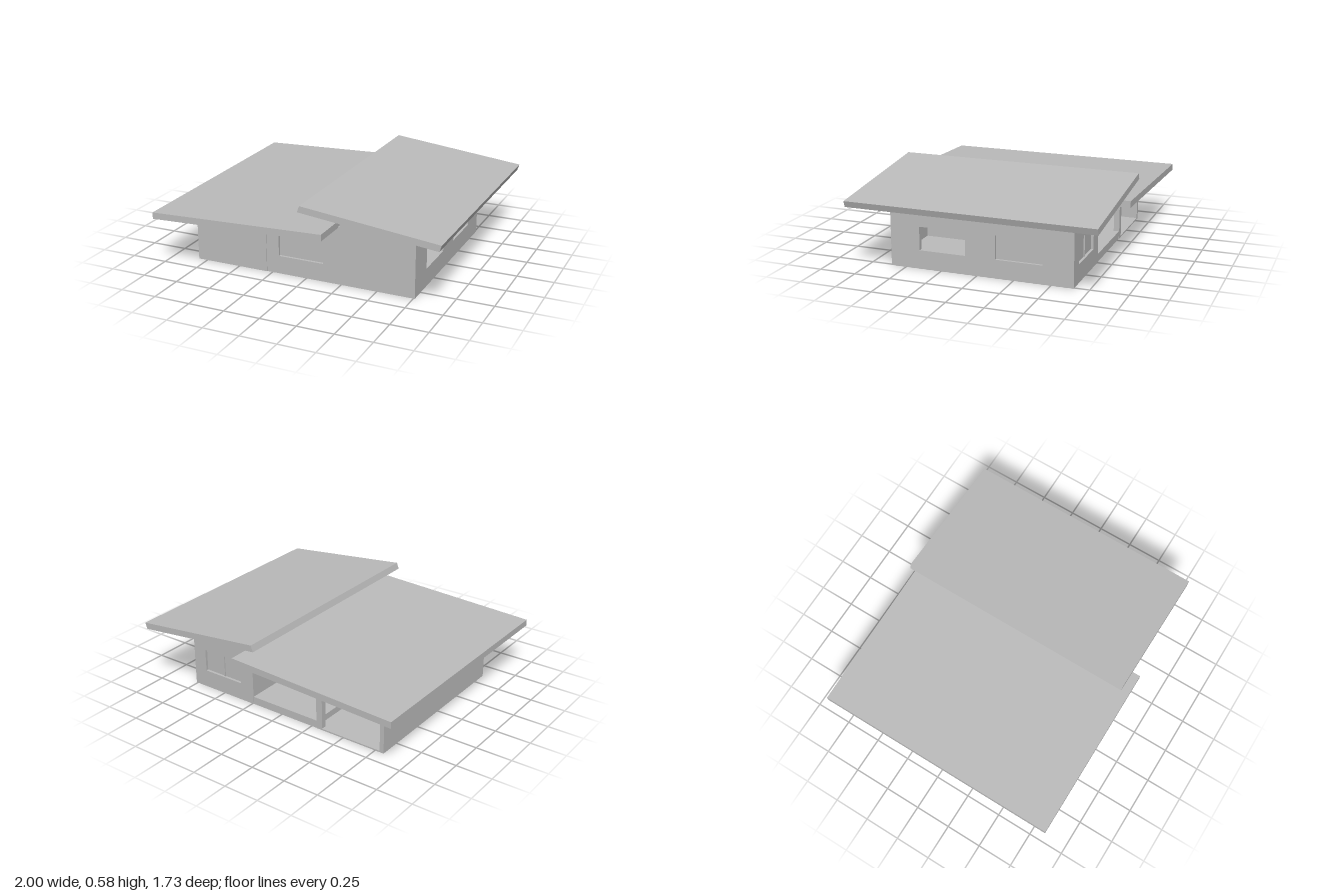
import * as THREE from 'three';

const T = 0.03; // wall thickness

export function createModel() {
  const group = new THREE.Group();
  const grey = new THREE.MeshStandardMaterial({ color: 0xbbbbbb });
  grey.name = 'plain grey';

  function add(name, geometry) {
    const mesh = new THREE.Mesh(geometry, grey);
    mesh.name = name;
    group.add(mesh);
    return mesh;
  }

  // Box given by its minimum and maximum corners
  function box(name, x0, x1, y0, y1, z0, z1) {
    const g = new THREE.BoxGeometry(x1 - x0, y1 - y0, z1 - z0);
    g.translate((x0 + x1) / 2, (y0 + y1) / 2, (z0 + z1) / 2);
    return add(name, g);
  }

  // Outline in the xy plane, with rectangular holes [x0, x1, y0, y1], extruded along z
  function slab(points, depth, holes = []) {
    const shape = new THREE.Shape(points.map(([x, y]) => new THREE.Vector2(x, y)));
    for (const [x0, x1, y0, y1] of holes) {
      shape.holes.push(new THREE.Path([
        new THREE.Vector2(x0, y0), new THREE.Vector2(x0, y1),
        new THREE.Vector2(x1, y1), new THREE.Vector2(x1, y0),
      ]));
    }
    return new THREE.ExtrudeGeometry(shape, { depth, bevelEnabled: false });
  }

  const sill = 0.125, head = 0.285;

  // Floors: low terrace and raised main floor
  box('terraceFloor', -0.81, -0.29, 0, 0.01, -0.65, 0.6);
  box('raisedFloor', -0.29, 0.75, 0, 0.055, -0.648, 0.6);

  // Front wall, stepped up under the higher roof
  add('frontWall', slab(
    [[-0.29, 0], [0.76, 0], [0.76, 0.466], [0.24, 0.523], [0.24, 0.402], [-0.29, 0.382]],
    T, [[-0.2, 0.12, sill, head]])).position.z = 0.605 - T;
  box('frontWindowPane', -0.2, 0.12, sill, head, 0.582, 0.587);
  add('terraceFrontWall', slab(
    [[-0.815, 0], [-0.29, 0], [-0.29, 0.382], [-0.815, 0.362]], T)).position.z = 0.61 - T;

  // Left wall
  box('leftWall', -0.815, -0.815 + T, 0, 0.361, -0.65, 0.609);

  // Right wall with two windows (outline drawn along -z)
  const right = slab(
    [[-0.604, 0], [0.65, 0], [0.65, 0.464], [-0.604, 0.464]], T,
    [[-0.4, -0.08, sill, head], [0.125, 0.445, sill, head]]);
  right.rotateY(Math.PI / 2);
  add('rightWall', right).position.x = 0.76 - T;
  box('rightWindowPane', 0.738, 0.743, sill, head, -0.445, -0.125);

  // Back wall of the closed room and its two-part window
  add('backWall', slab(
    [[0.24, 0], [0.76, 0], [0.76, 0.466], [0.24, 0.523]],
    T, [[0.345, 0.66, sill, head]])).position.z = -0.65;
  box('backWindowPane', 0.345, 0.66, sill, head, -0.632, -0.627);
  box('backWindowMullion', 0.498, 0.508, sill, head, -0.64, -0.63);

  // Inner wall, seen from the terrace and rising between the roofs
  box('innerWall', 0.24, 0.24 + T, 0, 0.52, -0.64, 0.6);

  // Terrace beam and post
  add('terraceBeam', slab(
    [[-0.815, 0.31], [0.24, 0.31], [0.24, 0.402], [-0.815, 0.362]], T)).position.z = -0.65;
  box('terracePost', -0.335, -0.29, 0, 0.383, -0.65, -0.61);

  // Two sloping roof slabs
  add('lowRoof', slab(
    [[-1, 0.35], [0.23, 0.395], [0.23, 0.44], [-1, 0.395]], 1.72)).position.z = -0.86;
  add('highRoof', slab(
    [[0.042, 0.542], [0.982, 0.437], [0.997, 0.48], [0.058, 0.585]], 1.675)).position.z = -0.865;

  return group;
}
